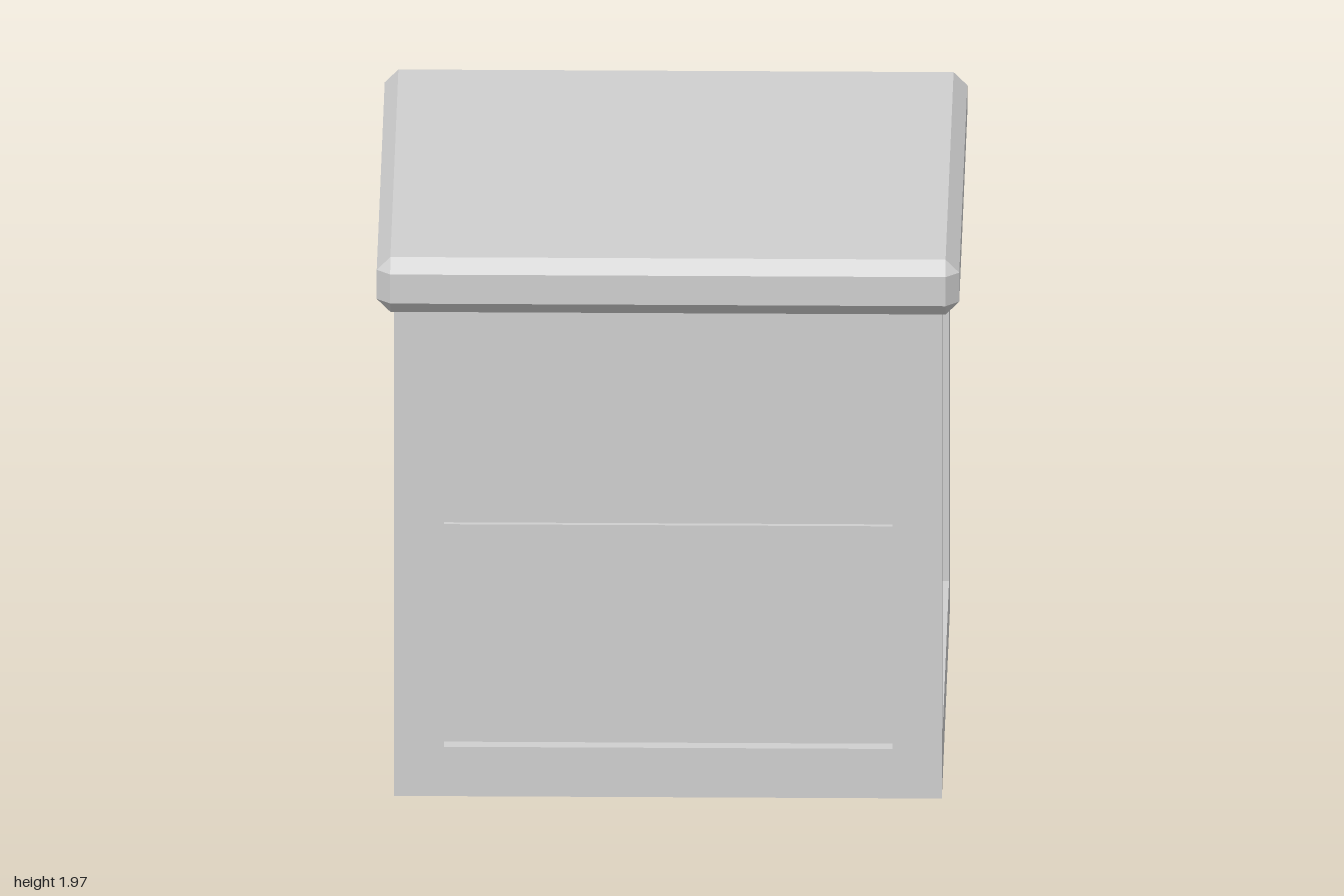
import * as THREE from 'three';
import { ConvexGeometry } from 'three/addons/geometries/ConvexGeometry.js';

export function createModel() {
  const group = new THREE.Group();
  const grey = new THREE.MeshStandardMaterial({ color: 0xcfcfcf });
  grey.name = 'light grey';

  const add = (name, geometry, x, y, z, parent = group) => {
    const mesh = new THREE.Mesh(geometry, grey);
    mesh.name = name;
    mesh.position.set(x, y, z);
    parent.add(mesh);
    return mesh;
  };

  const half = 0.94;      // outer half width of the body
  const opening = 0.77;   // half width of the recessed panels
  const panel = 0.887;    // panel plane distance from the centre
  const sill = 0.18;      // top of the base
  const lidBottom = 1.77, lidTop = 1.97;
  const wallHeight = lidBottom - sill;
  const wallY = (lidBottom + sill) / 2;

  // Base and recessed panels
  add('base', new THREE.BoxGeometry(half * 2, sill, half * 2), 0, sill / 2, 0);
  add('panels', new THREE.BoxGeometry(panel * 2, wallHeight, panel * 2), 0, wallY, 0);

  // Corner posts
  const postWidth = half - opening;
  const postGeometry = new THREE.BoxGeometry(postWidth, wallHeight, postWidth);
  const postOffset = (half + opening) / 2;
  for (const sx of [-1, 1])
    for (const sz of [-1, 1]) add('cornerPost', postGeometry, sx * postOffset, wallY, sz * postOffset);

  // Thin rail across the middle of each panel
  const railGeometry = new THREE.BoxGeometry(opening * 2, 0.07, 0.04);
  for (let i = 0; i < 4; i++) {
    const side = new THREE.Group();
    side.name = 'railSide';
    side.rotation.y = (i * Math.PI) / 2;
    group.add(side);
    add('rail', railGeometry, 0, 0.945, panel, side);
  }

  // Lid: a slab with every edge and corner chamfered
  const bevel = 0.047;
  const size = [1, (lidTop - lidBottom) / 2, 1];
  const points = [];
  for (const sx of [-1, 1])
    for (const sy of [-1, 1])
      for (const sz of [-1, 1])
        for (let face = 0; face < 3; face++) {
          const [x, y, z] = size.map((s, axis) => (axis === face ? s : s - bevel));
          points.push(new THREE.Vector3(sx * x, sy * y, sz * z));
        }
  add('lid', new ConvexGeometry(points), 0, (lidTop + lidBottom) / 2, 0);

  return group;
}
